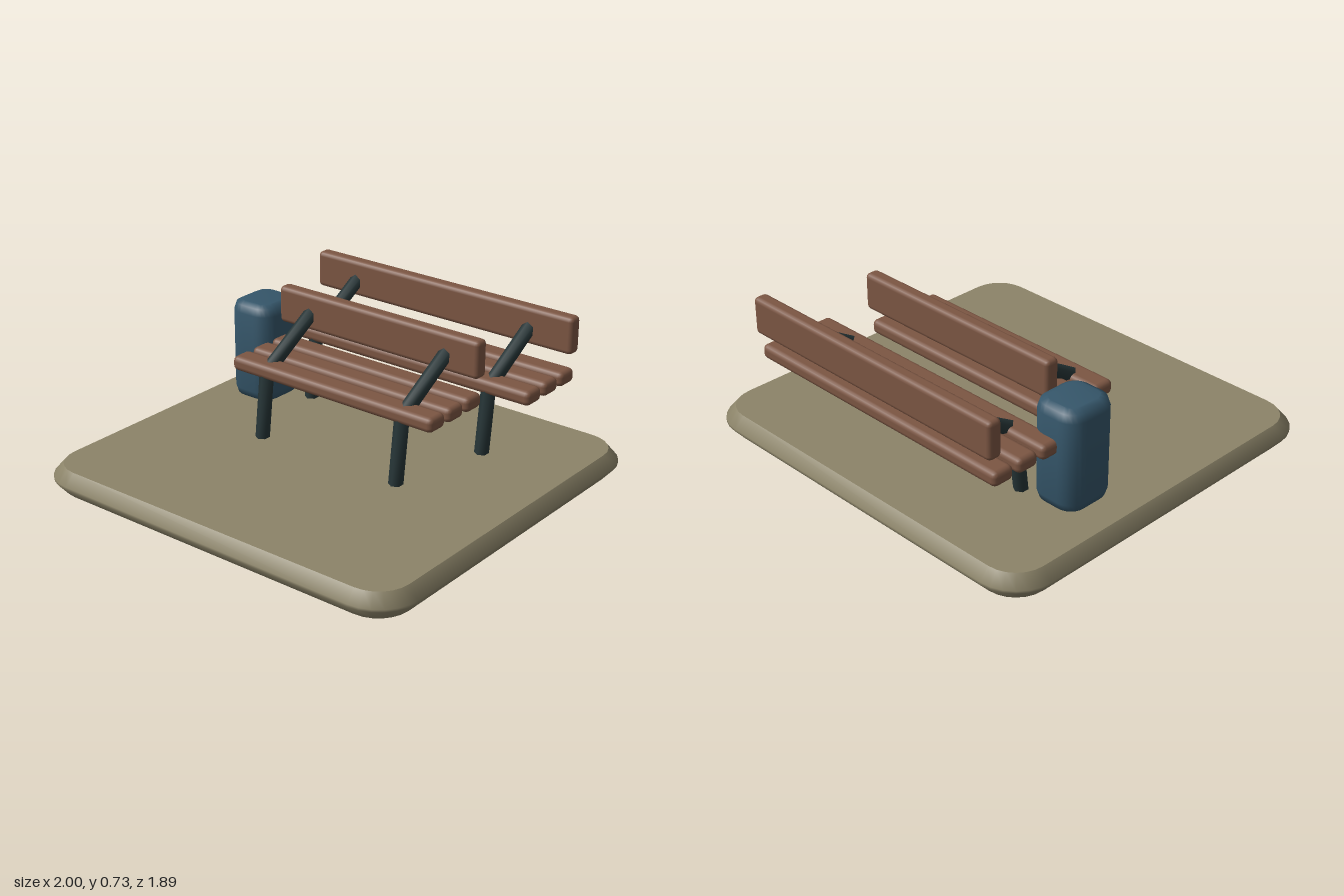
import * as THREE from 'three';
import { toCreasedNormals } from 'three/addons/utils/BufferGeometryUtils.js';
import { RoundedBoxGeometry } from 'three/addons/geometries/RoundedBoxGeometry.js';

const material = (name, color) => {
  const m = new THREE.MeshStandardMaterial({ color });
  m.name = name;
  return m;
};

// Upright block with rounded plan corners and bevelled rims, standing on y = 0
function roundedBlock(w, h, d, radius, bevelSize, bevelThickness, bevelSegments, crease) {
  const x = w / 2, y = d / 2, r = radius;
  const s = new THREE.Shape();
  s.moveTo(-x + r, -y);
  s.lineTo(x - r, -y);
  s.absarc(x - r, -y + r, r, -Math.PI / 2, 0);
  s.lineTo(x, y - r);
  s.absarc(x - r, y - r, r, 0, Math.PI / 2);
  s.lineTo(-x + r, y);
  s.absarc(-x + r, y - r, r, Math.PI / 2, Math.PI);
  s.lineTo(-x, -y + r);
  s.absarc(-x + r, -y + r, r, Math.PI, Math.PI * 1.5);
  const g = new THREE.ExtrudeGeometry(s, {
    depth: h - 2 * bevelThickness, curveSegments: 3, bevelEnabled: true,
    bevelSize, bevelThickness, bevelSegments, bevelOffset: -bevelSize,
  });
  g.translate(0, 0, bevelThickness).rotateX(-Math.PI / 2);
  return toCreasedNormals(g, crease);
}

export function createModel() {
  const stone = material('stone', 0x8c8469);
  const wood = material('wood', 0x7c5643);
  const iron = material('iron', 0x263537);
  const blue = material('binBlue', 0x35566a);
  const model = new THREE.Group();
  model.name = 'parkBenches';

  const add = (parent, name, geometry, mat, x = 0, y = 0, z = 0) => {
    const mesh = new THREE.Mesh(geometry, mat);
    mesh.name = name;
    mesh.position.set(x, y, z);
    parent.add(mesh);
    return mesh;
  };

  // Six-sided bar between two points in the side plane
  const bar = (parent, name, x, [y0, z0], [y1, z1]) => {
    const length = Math.hypot(y1 - y0, z1 - z0);
    const g = toCreasedNormals(new THREE.CylinderGeometry(0.034, 0.034, length, 6), 1.1);
    const mesh = add(parent, name, g, iron, x, (y0 + y1) / 2, (z0 + z1) / 2);
    mesh.rotation.x = Math.atan2(z1 - z0, y1 - y0);
  };

  // Bench with three seat slats, a backrest board and two leaning supports
  const bench = (name, width, legX, z) => {
    const group = new THREE.Group();
    group.name = name;
    group.position.z = z;
    for (let i = 0; i < 3; i++) {
      add(group, 'seatSlat', new RoundedBoxGeometry(width, 0.07, 0.112, 2, 0.025), wood, 0, 0.445, 0.025 - i * 0.137);
    }
    add(group, 'backrest', new RoundedBoxGeometry(width, 0.18, 0.072, 2, 0.022), wood, 0, 0.637, -0.296);
    for (const side of [-1, 1]) {
      bar(group, 'leg', side * legX, [0.115, 0.082], [0.44, 0.043]);
      bar(group, 'backSupport', side * legX, [0.435, 0.045], [0.637, -0.292]);
    }
    model.add(group);
  };

  add(model, 'groundSlab', roundedBlock(2, 0.122, 1.886, 0.2, 0.047, 0.055, 1, 0.78), stone);
  bench('frontBench', 1.14, 0.388, 0);
  bench('backBench', 1.48, 0.503, -0.497);
  add(model, 'litterBin', roundedBlock(0.25, 0.495, 0.275, 0.085, 0.04, 0.05, 2, 0.9), blue, -0.703, 0.13, -0.312);
  return model;
}
